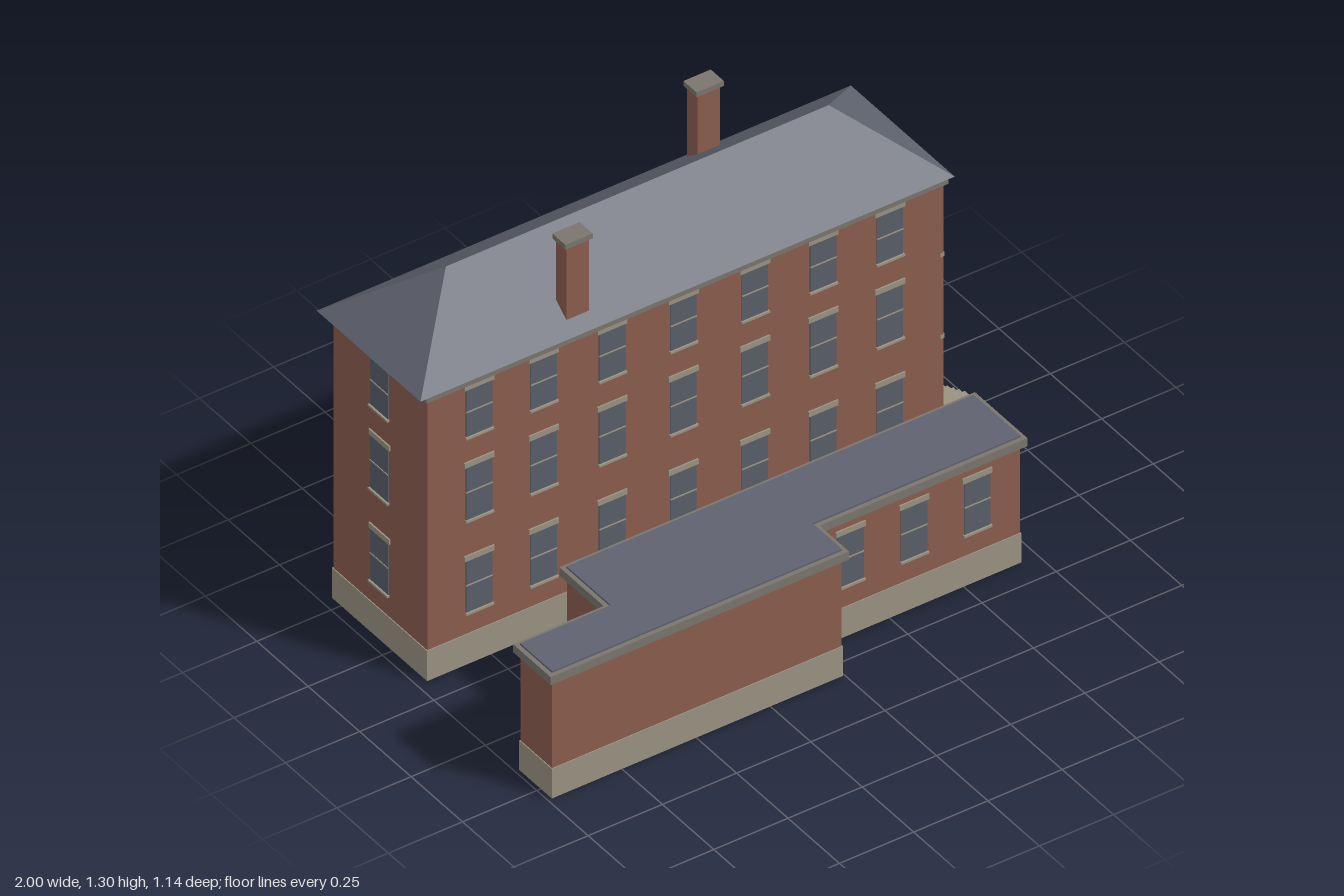
import * as THREE from 'three';

const mat = (name, color) => new THREE.MeshStandardMaterial({ name, color });

export function createModel() {
  const brick = mat('brick', 0x8c5d4f);
  const stone = mat('stone', 0x9a9382);
  const trim = mat('grey trim', 0x7a766e);
  const slate = mat('slate', 0x5f636f);
  const glass = mat('glass', 0x5a5e69);

  const model = new THREE.Group();
  model.name = 'townhouse';

  const add = (parent, name, geometry, material) => {
    const mesh = new THREE.Mesh(geometry, material);
    mesh.name = name;
    parent.add(mesh);
    return mesh;
  };

  // Box given by its minimum and maximum on each axis
  const box = (parent, name, material, x0, x1, y0, y1, z0, z1) =>
    add(parent, name, new THREE.BoxGeometry(x1 - x0, y1 - y0, z1 - z0)
      .translate((x0 + x1) / 2, (y0 + y1) / 2, (z0 + z1) / 2), material);

  // Main block
  const W = { x0: -0.963, x1: 0.775, z0: -0.542, z1: -0.085 };
  const main = new THREE.Group();
  main.name = 'mainBlock';
  model.add(main);
  const layer = (name, material, y0, y1, o) =>
    box(main, name, material, W.x0 - o, W.x1 + o, y0, y1, W.z0 - o, W.z1 + o);
  layer('mainPlinth', stone, 0, 0.105, 0.003);
  layer('mainWalls', brick, 0.1, 0.98, 0);
  layer('cornice', trim, 0.975, 1.0, 0.01);
  for (const y of [0.435, 0.72])
    box(main, 'stringCourse', stone, W.x1 - 0.01, W.x1 + 0.005, y, y + 0.014, W.z0, W.z1);

  // Hipped roof: eaves corners, ridge ends, then outward-facing triangles
  const eaves = 1.0, ridge = 1.2;
  const p = [
    [-1, eaves, -0.065], [0.8, eaves, -0.065], [0.8, eaves, -0.57], [-1, eaves, -0.57],
    [-0.74, ridge, -0.317], [0.55, ridge, -0.317],
  ];
  const faces = [0, 1, 5, 0, 5, 4, 1, 2, 5, 2, 3, 4, 2, 4, 5, 3, 0, 4, 0, 3, 2, 0, 2, 1];
  const roofGeometry = new THREE.BufferGeometry();
  roofGeometry.setAttribute('position',
    new THREE.Float32BufferAttribute(faces.flatMap((i) => p[i]), 3));
  roofGeometry.computeVertexNormals();
  add(main, 'hippedRoof', roofGeometry, slate);

  // Chimneys
  for (const [x, z] of [[-0.442, -0.131], [0.252, -0.495]]) {
    box(main, 'chimney', brick, x - 0.038, x + 0.038, 1.005, 1.287, z - 0.025, z + 0.025);
    box(main, 'chimneyCap', trim, x - 0.046, x + 0.046, 1.285, 1.302, z - 0.032, z + 0.032);
  }

  // Sash window facing local +z, turned to suit its wall
  const addWindow = (x, z, turn, sill, head) => {
    const g = new THREE.Group();
    g.name = 'window';
    const mid = (sill + head) / 2 + 0.006;
    box(g, 'pane', glass, -0.044, 0.044, sill, head, -0.004, 0.003);
    box(g, 'sashBar', stone, -0.044, 0.044, mid - 0.002, mid + 0.002, -0.004, 0.005);
    box(g, 'lintel', stone, -0.05, 0.05, head, head + 0.018, -0.004, 0.005);
    box(g, 'sill', stone, -0.047, 0.047, sill - 0.004, sill + 0.003, -0.004, 0.009);
    g.position.set(x, 0, z);
    g.rotation.y = turn;
    model.add(g);
  };
  const rows = [[0.178, 0.36], [0.5, 0.686], [0.79, 0.956]];
  rows.forEach(([sill, head], floor) => {
    for (const x of [-0.79, -0.573, -0.342, -0.102, 0.139, 0.369, 0.594])
      addWindow(x, W.z1, 0, sill, head);
    addWindow(W.x1, -0.4, Math.PI / 2, sill, head);
    if (floor > 0) addWindow(W.x1, -0.228, Math.PI / 2, sill, head);
    addWindow(W.x0, -0.315, -Math.PI / 2, sill, head);
  });

  // Side entrance: transom light and hood above the steps
  box(main, 'transom', glass, W.x1 - 0.004, W.x1 + 0.004, 0.35, 0.392, -0.277, -0.178);
  box(main, 'entranceHood', stone, W.x1 - 0.004, W.x1 + 0.012, 0.391, 0.405, -0.29, -0.164);

  // Entrance steps: stepped side profile extruded across the width
  const count = 8, top = 0.118, landing = 0.865;
  const profile = new THREE.Shape().moveTo(W.x1 - 0.01, 0).lineTo(W.x1 - 0.01, top);
  for (let i = 0; i < count; i++) {
    const x = landing + (1 - landing) * i / (count - 1);
    profile.lineTo(x, top * (1 - i / count));
    profile.lineTo(x, top * (1 - (i + 1) / count));
  }
  add(main, 'entranceSteps',
    new THREE.ExtrudeGeometry(profile, { depth: 0.15, bevelEnabled: false })
      .translate(0, 0, -0.305), stone);

  // Low front wing: one stepped plan, grown by an offset for each layer
  const wing = new THREE.Group();
  wing.name = 'frontWing';
  model.add(wing);
  const wingLayer = (name, material, y0, y1, o) => {
    const plan = [
      [-0.985 - o, 0.553 + o], [-0.01 + o, 0.553 + o], [-0.01 + o, 0.41 + o], [0.69 + o, 0.41 + o],
      [0.69 + o, 0.185 - o], [-0.68 - o, 0.185 - o], [-0.68 - o, 0.4 - o], [-0.985 - o, 0.4 - o],
    ].map(([x, z]) => new THREE.Vector2(x, -z));
    const geometry = new THREE.ExtrudeGeometry(new THREE.Shape(plan),
      { depth: y1 - y0, bevelEnabled: false });
    add(wing, name, geometry.rotateX(-Math.PI / 2).translate(0, y0, 0), material);
  };
  wingLayer('wingPlinth', stone, 0.002, 0.105, 0.003);
  wingLayer('wingWalls', brick, 0.1, 0.412, 0);
  wingLayer('wingParapet', trim, 0.41, 0.438, 0.015);
  wingLayer('wingRoof', slate, 0.43, 0.444, 0.001);
  box(wing, 'wingFloor', brick, -0.68, 0.69, 0, 0.01, 0.185, 0.41);

  // Wing windows, front and rear
  const [sill, head] = rows[0];
  for (const x of [0.118, 0.332, 0.545]) addWindow(x, 0.41, 0, sill, head);
  for (const x of [-0.54, -0.32, -0.1, 0.118, 0.332, 0.545])
    addWindow(x, 0.185, Math.PI, sill, head);

  return model;
}
